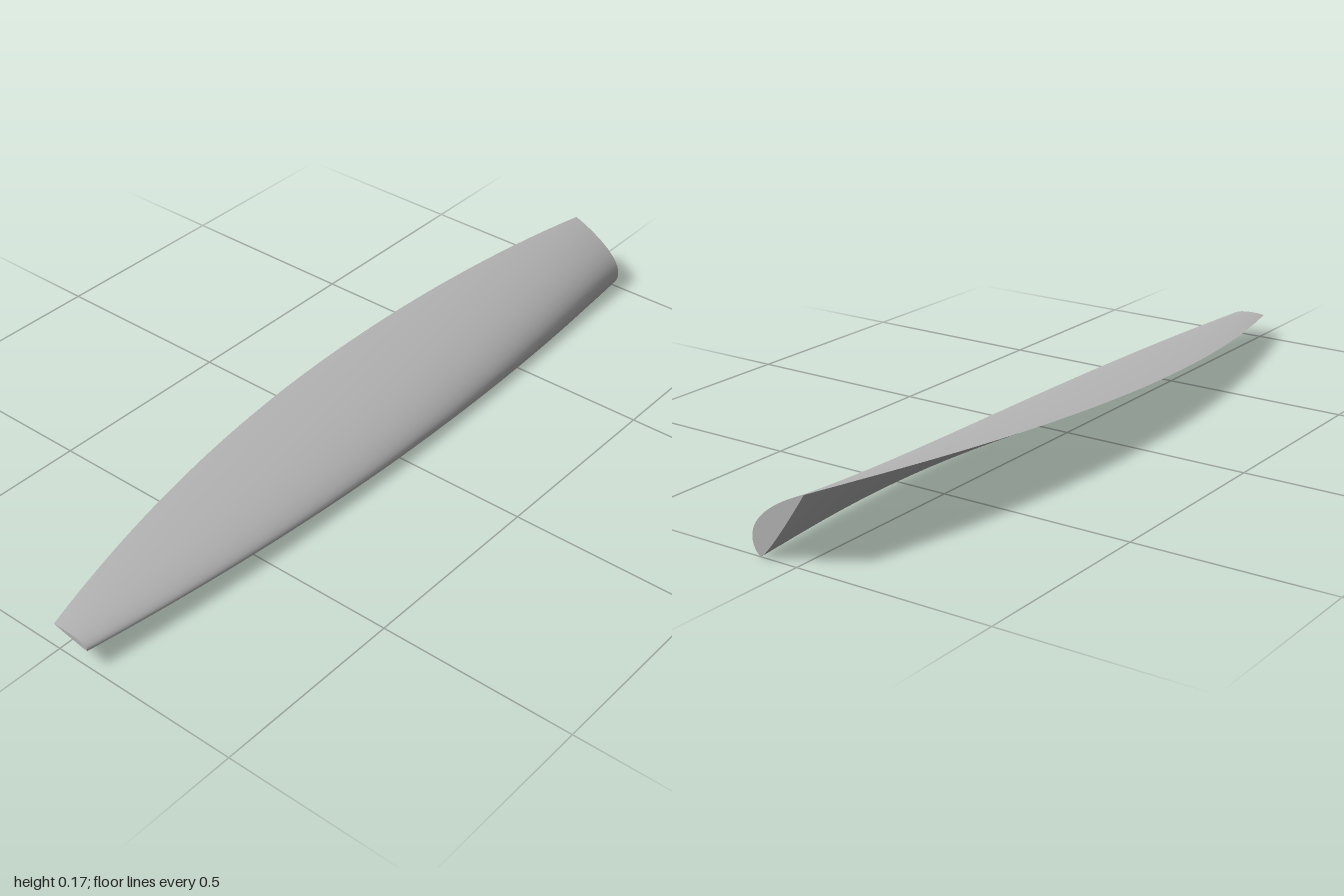
import * as THREE from 'three';

const STATIONS = 64; // sections along the span
const HALF = 28;     // points on each side of a section
const PIVOT = { x: 0.059, y: 0.056, f: 0.32 }; // twist axis, as a fraction of chord

// Relative thickness of an aerofoil, peak 1 at 30% of the chord, sharp at the trailing edge
const foil = (u) =>
  Math.max(0, 10 * (0.2969 * Math.sqrt(u) - 0.126 * u - 0.3516 * u ** 2 + 0.2843 * u ** 3 - 0.1036 * u ** 4));

// One twisted section at z: trailing edge, over the top to the nose, back underneath
function section(z) {
  const angle = Math.atan(1 / (3.1 + 2.32 * z));       // constant-pitch twist
  const rear = 0.216 - (z > 0 ? 0.147 : 0.127) * z * z; // plan outline of the trailing edge
  const chord = rear / ((1 - PIVOT.f) * Math.cos(angle));
  const thick = 0.033 - 0.0205 * z;
  const points = [];
  for (let j = 0; j <= 2 * HALF; j++) {
    const u = (1 + Math.cos((Math.PI * j) / HALF)) / 2; // 1 at trailing edge, 0 at nose
    const h = foil(u) * thick * (j <= HALF ? 1 : -0.12);
    const s = (PIVOT.f - u) * chord;
    points.push(new THREE.Vector3(
      PIVOT.x + s * Math.cos(angle) + h * Math.sin(angle),
      PIVOT.y - s * Math.sin(angle) + h * Math.cos(angle),
      z
    ));
  }
  return points;
}

function toGeometry(points, index) {
  const geometry = new THREE.BufferGeometry().setFromPoints(points);
  geometry.setIndex(index);
  geometry.computeVertexNormals();
  return geometry;
}

// Smooth skin through all sections
function skinGeometry() {
  const points = [];
  const index = [];
  const n = 2 * HALF + 1;
  for (let i = 0; i <= STATIONS; i++) {
    points.push(...section(-1 + (2 * i) / STATIONS));
    if (i === STATIONS) break;
    for (let j = 0; j < n - 1; j++) {
      const a = i * n + j;
      index.push(a, a + n, a + 1, a + 1, a + n, a + n + 1);
    }
  }
  return toGeometry(points, index);
}

// Flat end, filled between the upper and lower curves
function capGeometry(z) {
  const index = [];
  const tri = (a, b, c) => (z > 0 ? index.push(a, b, c) : index.push(a, c, b));
  for (let k = 0; k < HALF; k++) {
    const low = 2 * HALF - k;
    tri(k, low, low - 1);
    if (k < HALF - 1) tri(k, low - 1, k + 1);
  }
  return toGeometry(section(z), index);
}

export function createModel() {
  const group = new THREE.Group();
  group.name = 'propellerBlade';
  const grey = new THREE.MeshStandardMaterial({ color: 0xb4b4b4 });
  grey.name = 'bladeGrey';
  const add = (name, geometry) => {
    const mesh = new THREE.Mesh(geometry, grey);
    mesh.name = name;
    group.add(mesh);
  };
  add('bladeSkin', skinGeometry());
  add('rootCap', capGeometry(-1));
  add('tipCap', capGeometry(1));
  return group;
}
